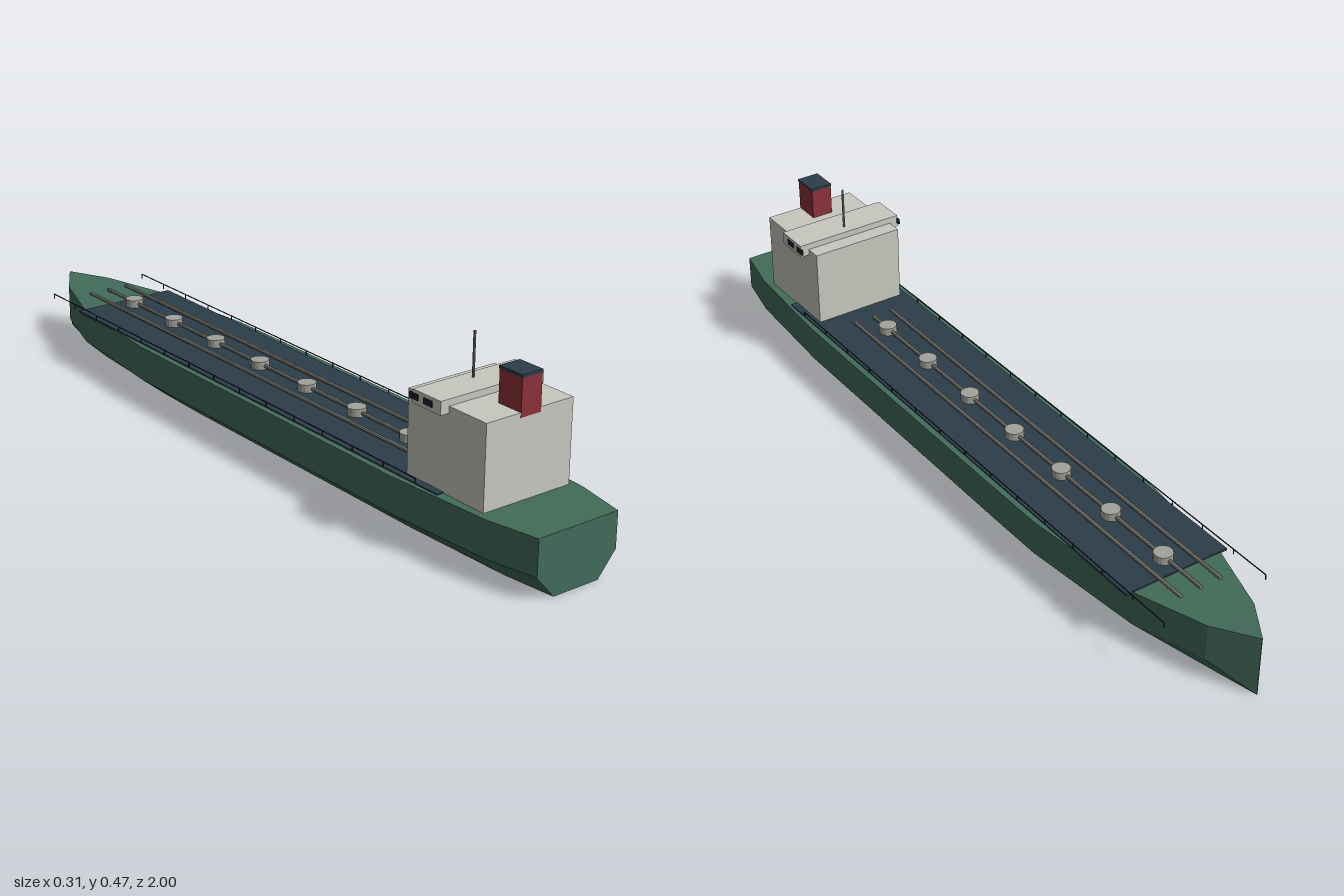
import * as THREE from 'three';

const mat = (color) => new THREE.MeshStandardMaterial({ color, flatShading: true });
const green = mat(0x426b5a), navy = mat(0x2c3e4a), white = mat(0xc8c8c0);
const red = mat(0x8c323a), steel = mat(0x85857f), dark = mat(0x1c252c), lid = mat(0xa3a39c);

function add(parent, name, geometry, material, x = 0, y = 0, z = 0) {
  const mesh = new THREE.Mesh(geometry, material);
  mesh.name = name;
  mesh.position.set(x, y, z);
  parent.add(mesh);
  return mesh;
}

// Box given by its extents along each axis
function box(parent, name, material, [x0, x1], [y0, y1], [z0, z1]) {
  return add(parent, name, new THREE.BoxGeometry(x1 - x0, y1 - y0, z1 - z0), material,
    (x0 + x1) / 2, (y0 + y1) / 2, (z0 + z1) / 2);
}

// Hull lofted through hard-chined cross-sections, stern to bow
function hullGeometry() {
  // z, half width, half width of the bottom, chine height, deck height
  const stations = [
    [1, 0.112, 0.063, 0.057, 0.145],
    [0.87, 0.138, 0.078, 0.057, 0.145],
    [0.58, 0.155, 0.087, 0.057, 0.145],
    [-0.24, 0.155, 0.087, 0.057, 0.145],
    [-0.4, 0.154, 0.083, 0.057, 0.145],
    [-0.72, 0.122, 0.06, 0.057, 0.145],
    [-0.9, 0.064, 0.025, 0.057, 0.15],
    [-1, 0.001, 0.001, 0.057, 0.155],
  ];
  const rings = stations.map(([z, w, b, c, t]) => [
    [b, 0, z], [w, c, z], [w, t, z], [-w, t, z], [-w, c, z], [-b, 0, z],
  ]);
  const pos = [];
  const tri = (a, b, c) => pos.push(...a, ...b, ...c);
  for (let i = 0; i < rings.length - 1; i++) {
    const p = rings[i], q = rings[i + 1];
    for (let j = 0; j < 6; j++) {
      const k = (j + 1) % 6;
      tri(p[j], q[j], p[k]);
      tri(p[k], q[j], q[k]);
    }
  }
  const stern = rings[0], bow = rings[rings.length - 1];
  for (let j = 1; j < 5; j++) {
    tri(stern[0], stern[j], stern[j + 1]);
    tri(bow[0], bow[j + 1], bow[j]);
  }
  const g = new THREE.BufferGeometry();
  g.setAttribute('position', new THREE.Float32BufferAttribute(pos, 3));
  g.computeVertexNormals();
  return g;
}

export function createModel() {
  const ship = new THREE.Group();
  ship.name = 'tankerShip';

  add(ship, 'hull', hullGeometry(), green);
  box(ship, 'cargoDeck', navy, [-0.14, 0.14], [0.142, 0.148], [-0.72, 0.72]);

  // Cargo pipes along the deck
  for (const x of [-0.055, 0, 0.055]) {
    const pipe = add(ship, 'deckPipe', new THREE.CylinderGeometry(0.005, 0.005, 1.335, 8), steel, x, 0.157, -0.132);
    pipe.rotation.x = Math.PI / 2;
  }

  // Tank hatches
  for (let i = 0; i < 7; i++) {
    add(ship, 'tankHatch', new THREE.CylinderGeometry(0.023, 0.023, 0.02, 16), lid, 0, 0.158, -0.67 + i * 0.189);
  }

  // Side railings
  for (const side of [-1, 1]) {
    const railing = new THREE.Group();
    railing.name = side > 0 ? 'leftRailing' : 'rightRailing';
    const x = [side * 0.14 - 0.001, side * 0.14 + 0.001];
    box(railing, 'rail', dark, x, [0.158, 0.16], [-0.85, 0.65]);
    for (let i = 0; i <= 14; i++) {
      const z = -0.849 + i * 1.498 / 14;
      box(railing, 'railPost', dark, x, [0.146, 0.159], [z - 0.001, z + 0.001]);
    }
    ship.add(railing);
  }

  // Accommodation block with bridge on top
  box(ship, 'deckHouse', white, [-0.122, 0.122], [0.144, 0.346], [0.6, 0.845]);
  box(ship, 'bridge', white, [-0.145, 0.145], [0.33, 0.362], [0.64, 0.73]);
  for (const side of [-1, 1]) {
    for (const z of [0.645, 0.69]) {
      box(ship, 'bridgeWindow', dark, [side * 0.145 - 0.002, side * 0.145 + 0.002], [0.34, 0.354], [z - 0.014, z + 0.014]);
    }
  }

  // Funnel and mast
  box(ship, 'funnel', red, [-0.028, 0.028], [0.335, 0.423], [0.777, 0.846]);
  box(ship, 'funnelCap', navy, [-0.029, 0.029], [0.423, 0.43], [0.776, 0.847]);
  add(ship, 'mast', new THREE.CylinderGeometry(0.003, 0.003, 0.108, 8), steel, 0, 0.414, 0.667);

  return ship;
}
